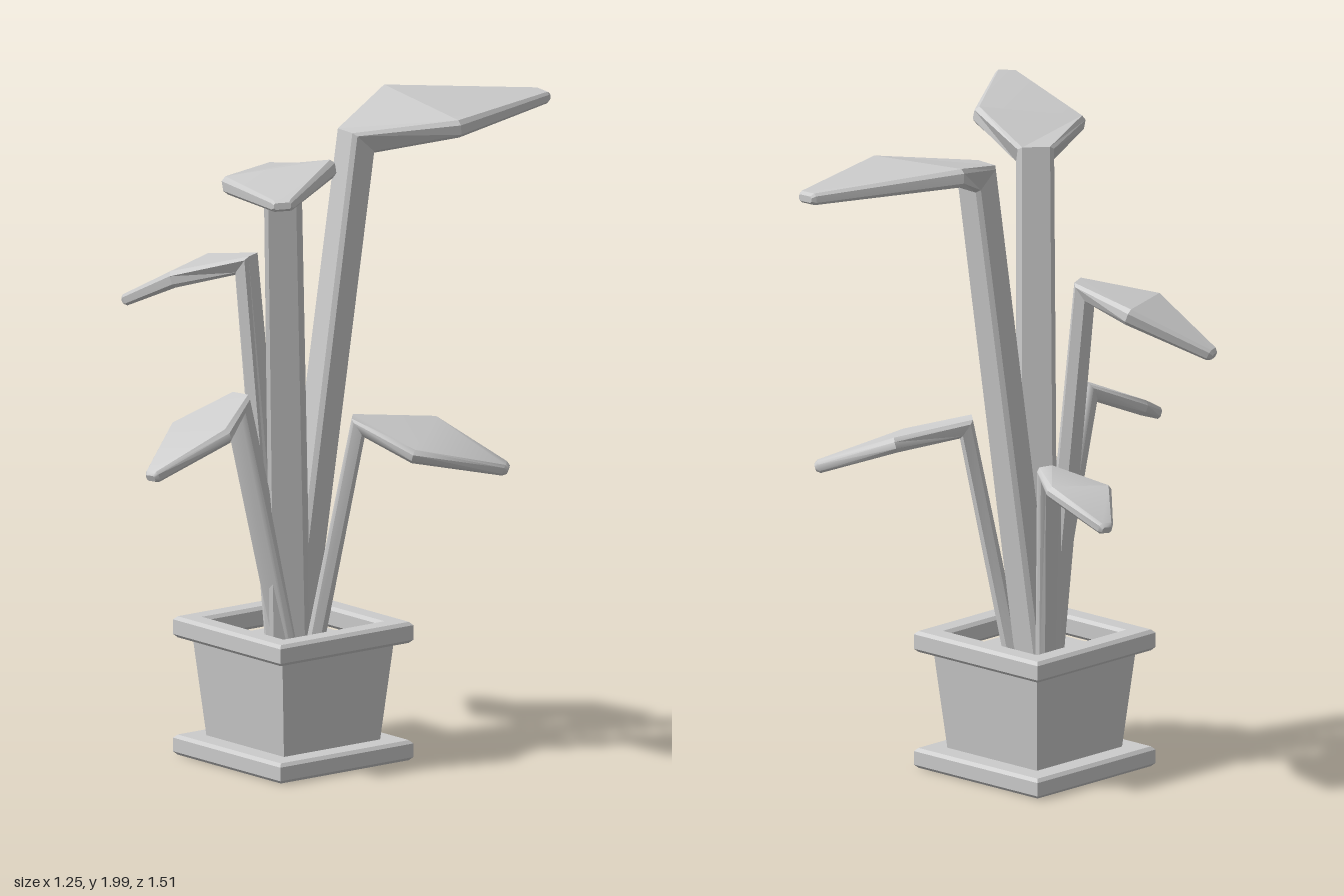
import * as THREE from 'three';
import { toCreasedNormals } from 'three/addons/utils/BufferGeometryUtils.js';

const V = (a) => new THREE.Vector3(...a);
const grey = new THREE.MeshStandardMaterial({ color: 0xcccccc });
const CX = -0.075, CZ = 0.135; // pot centre

// Skin a row of eight-sided rings (chamfered rectangles) and close both ends
function loft(rings, crease) {
  const pos = [], index = [], n = 8;
  rings.forEach(({ c, side, up, w, t, b }) => {
    const outline = [[w, b - t], [w, t - b], [w - b, t], [b - w, t], [-w, t - b], [-w, b - t], [b - w, -t], [w - b, -t]];
    for (const [x, y] of outline) {
      pos.push(...c.clone().addScaledVector(side, x).addScaledVector(up, y).toArray());
    }
  });
  for (let i = 0; i < rings.length - 1; i++) {
    for (let k = 0; k < n; k++) {
      const a = i * n + k, b = i * n + (k + 1) % n;
      index.push(a, b, b + n, a, b + n, a + n);
    }
  }
  const last = (rings.length - 1) * n;
  for (let k = 1; k < n - 1; k++) index.push(0, k + 1, k, last, last + k, last + k + 1);
  const geo = new THREE.BufferGeometry();
  geo.setAttribute('position', new THREE.Float32BufferAttribute(pos, 3));
  geo.setIndex(index);
  return toCreasedNormals(geo, crease);
}

// One stem that bends at a mitred elbow into a kite-shaped leaf
function makeStemAndLeaf(p) {
  const base = V(p.base), elbow = V(p.elbow), tip = V(p.tip);
  const e0 = V(p.edges[0]), e1 = V(p.edges[1]);
  const mid = e0.clone().lerp(e1, 0.5);
  const dir = (a, b) => b.clone().sub(a).normalize();
  const stemDir = dir(base, elbow), leafDir = dir(elbow, mid), tipDir = dir(mid, tip);
  const across = new THREE.Vector3(0, 1, 0).cross(leafDir).normalize();
  const midSide = dir(e0, e1);
  if (midSide.dot(across) < 0) midSide.negate();
  const tipSide = across.clone().lerp(midSide, 0.5).normalize();
  const ring = (c, fwd, side, w, t, b) => ({ c, side, w, t, b, up: fwd.clone().cross(side).normalize() });
  const b = 0.013;
  return loft([
    ring(base, stemDir, across, p.stem[0] * 1.1, p.stem[1] * 0.9, b),
    ring(elbow, stemDir.clone().add(leafDir), across, p.stem[0], p.stem[1] * 1.15, b),
    ring(mid, leafDir.clone().add(tipDir), midSide, e0.distanceTo(e1) / 2, p.thick, b),
    ring(tip.clone().addScaledVector(tipDir, -0.012), tipDir, tipSide, p.tipWidth, 0.018, 0.008),
    ring(tip, tipDir, tipSide, p.tipWidth - 0.008, 0.01, 0.005),
  ], p.smooth ? 0.7 : 0.1);
}

// Centre lines: stem foot, elbow, the two widest leaf corners, leaf tip
const plants = [
  { name: 'backLeaf', base: [-0.085, 0.3, 0.135], elbow: [-0.035, 1.885, -0.075],
    edges: [[-0.22, 1.965, -0.325], [0.19, 1.925, -0.3]], tip: [0.035, 1.94, -0.75],
    stem: [0.052, 0.046], thick: 0.028, tipWidth: 0.036 },
  { name: 'frontLeftLeaf', base: [-0.07, 0.3, 0.15], elbow: [0.085, 1.85, 0.305],
    edges: [[0.15, 1.875, 0.59], [0.345, 1.925, 0.31]], tip: [0.605, 1.915, 0.725],
    stem: [0.055, 0.046], thick: 0.028, tipWidth: 0.034 },
  { name: 'frontRightLeaf', base: [-0.13, 0.3, 0.14], elbow: [-0.225, 1.51, 0.195],
    edges: [[-0.44, 1.475, 0.152], [-0.345, 1.465, 0.39]], tip: [-0.615, 1.35, 0.35],
    stem: [0.043, 0.033], thick: 0.026, tipWidth: 0.026 },
  { name: 'frontLeaf', base: [-0.065, 0.3, 0.15], elbow: [-0.065, 1.13, 0.36],
    edges: [[-0.165, 1.06, 0.53], [0.09, 1.08, 0.51]], tip: [0.005, 0.97, 0.75],
    stem: [0.043, 0.03], thick: 0.024, tipWidth: 0.026, smooth: true },
  { name: 'backLeftLeaf', base: [-0.01, 0.3, 0.12], elbow: [0.12, 1.05, 0.04],
    edges: [[0.165, 1.035, -0.22], [0.34, 0.985, 0.01]], tip: [0.44, 0.925, -0.28],
    stem: [0.043, 0.03], thick: 0.023, tipWidth: 0.026, smooth: true },
  { name: 'backRightLeaf', base: [-0.155, 0.3, 0.11], elbow: [-0.225, 0.965, 0.04],
    edges: [[-0.355, 0.965, -0.105], [-0.42, 0.94, 0.105]], tip: [-0.575, 0.885, -0.075],
    stem: [0.036, 0.026], thick: 0.02, tipWidth: 0.024, smooth: true },
];

// Square slab with chamfered edges, optionally with a square opening
function slab(half, y0, y1, hole = 0) {
  const b = 0.01;
  const square = (s) => [[-s, -s], [s, -s], [s, s], [-s, s]].map(([x, y]) => new THREE.Vector2(x, y));
  const shape = new THREE.Shape(square(half - b));
  if (hole) shape.holes.push(new THREE.Path(square(hole + b).reverse()));
  const geo = new THREE.ExtrudeGeometry(shape, {
    depth: y1 - y0 - 2 * b, bevelEnabled: true, bevelSize: b, bevelThickness: b, bevelSegments: 1,
  });
  return geo.rotateX(-Math.PI / 2).translate(CX, y0 + b, CZ);
}

export function createModel() {
  const model = new THREE.Group();
  model.name = 'pottedPlant';
  const add = (name, geo, parent = model) => {
    const mesh = new THREE.Mesh(geo, grey);
    mesh.name = name;
    parent.add(mesh);
  };

  // Square pot: saucer, tapered body, open rim and soil
  const pot = new THREE.Group();
  pot.name = 'pot';
  model.add(pot);
  add('saucer', slab(0.257, 0.005, 0.067), pot);
  const body = new THREE.CylinderGeometry(0.215 * Math.SQRT2, 0.185 * Math.SQRT2, 0.31, 4, 1, true);
  body.rotateY(Math.PI / 4).translate(CX, 0.215, CZ);
  add('potBody', toCreasedNormals(body, 0.3), pot);
  add('potRim', slab(0.257, 0.367, 0.432, 0.185), pot);
  add('soil', new THREE.BoxGeometry(0.4, 0.02, 0.4).translate(CX, 0.35, CZ), pot);

  // Six bent leaves rising from the soil
  for (const p of plants) add(p.name, makeStemAndLeaf(p));
  return model;
}
